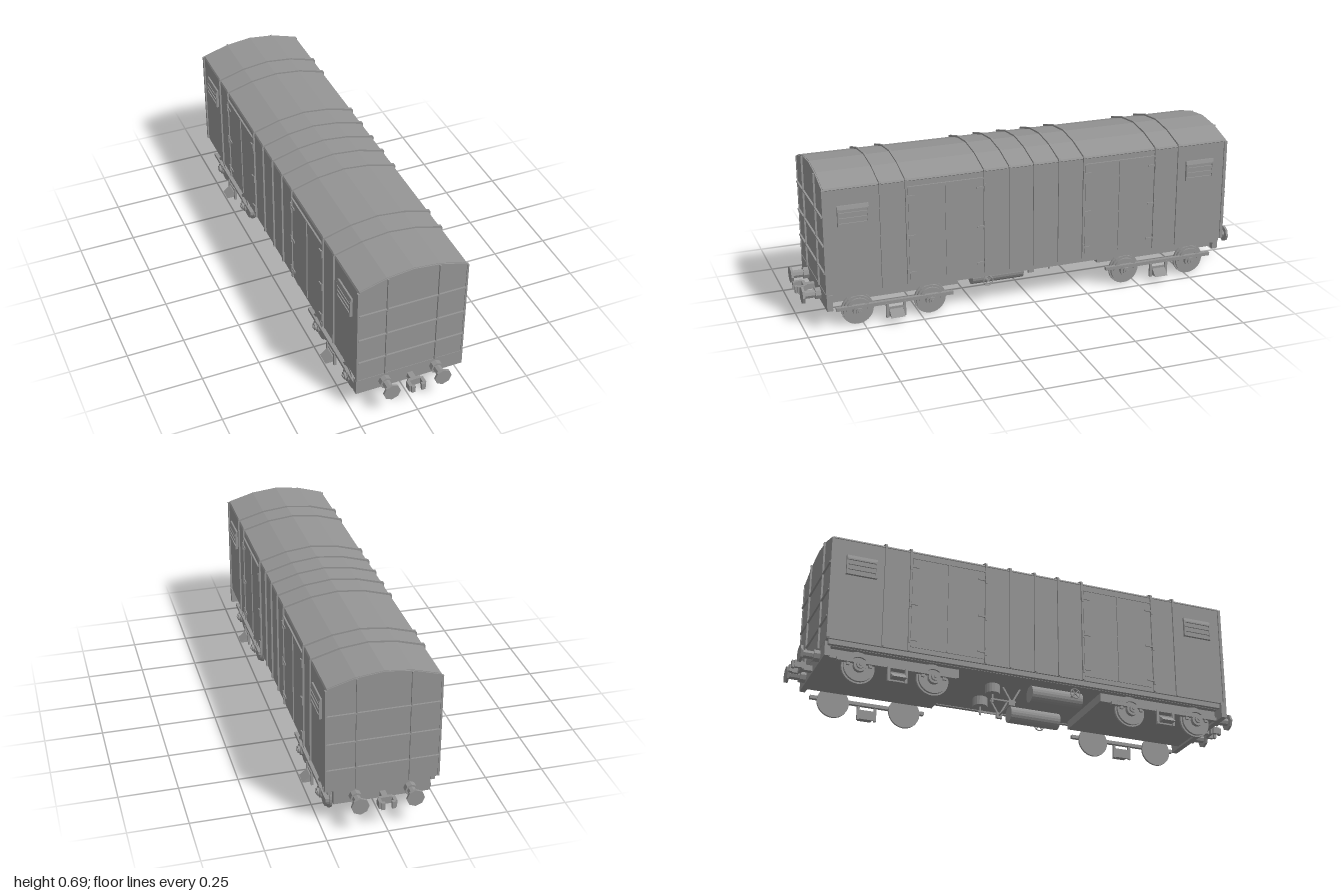
import * as THREE from 'three';

const mat = new THREE.MeshStandardMaterial({ color: 0x949494, flatShading: true, side: THREE.DoubleSide });

function add(parent, name, geometry, x = 0, y = 0, z = 0) {
  const m = new THREE.Mesh(geometry, mat);
  m.name = name;
  m.position.set(x, y, z);
  parent.add(m);
  return m;
}

// Box given by its limits on each axis
function box(parent, name, x0, x1, y0, y1, z0, z1) {
  return add(parent, name, new THREE.BoxGeometry(Math.abs(x1 - x0), y1 - y0, Math.abs(z1 - z0)),
    (x0 + x1) / 2, (y0 + y1) / 2, (z0 + z1) / 2);
}

// Square bar between two points
function bar(parent, name, a, b, w) {
  const p = new THREE.Vector3(...a), q = new THREE.Vector3(...b);
  const m = add(parent, name, new THREE.BoxGeometry(w, w, p.distanceTo(q)));
  m.position.copy(p).add(q).multiplyScalar(0.5);
  m.lookAt(q);
}

// Cylinder lying along z or x
function rod(parent, name, axis, r, x, y, z, len, sides = 16) {
  const g = new THREE.CylinderGeometry(r, r, len, sides);
  if (axis === 'z') g.rotateX(Math.PI / 2);
  else g.rotateZ(Math.PI / 2);
  add(parent, name, g, x, y, z);
}

function extrude(points, z0, z1) {
  const s = new THREE.Shape(points.map(p => new THREE.Vector2(...p)));
  const g = new THREE.ExtrudeGeometry(s, { depth: z1 - z0, bevelEnabled: false });
  return g.translate(0, 0, z0);
}

// Roof outline from one eave to the other
const halfRoof = [[0.23, 0.627], [0.226, 0.635], [0.113, 0.668], [0, 0.681]];
const roofLine = [...halfRoof, ...halfRoof.slice(0, -1).reverse().map(([x, y]) => [-x, y])];
const ribZ = [0.67, 0.56, 0.22, 0.107, -0.003, -0.117, -0.23, -0.567, -0.678];

function buildBody(g) {
  add(g, 'body', extrude([[-0.23, 0.168], [0.23, 0.168], ...roofLine], -0.91, 0.91));
  // Thin roof sheet overhanging the walls a little
  const sheet = off => [...roofLine.map(([x, y]) => [x * (1 + off * 3.5), y + off]), ...[...roofLine].reverse()];
  add(g, 'roofSheet', extrude(sheet(0.002), -0.905, 0.905));
  for (const z of ribZ) {
    add(g, 'roofRib', extrude(sheet(0.009), z - 0.005, z + 0.005));
    for (const s of [-1, 1]) box(g, 'sideRib', s * 0.228, s * 0.2373, 0.17, 0.636, z - 0.004, z + 0.004);
  }
  for (const e of [-1, 1]) {
    const zi = e * 0.905, zo = e * 0.918;
    for (const x of [-0.11, 0.11]) box(g, 'endPost', x - 0.003, x + 0.003, 0.17, 0.667, zi, zo);
    for (const y of [0.268, 0.388, 0.515]) box(g, 'endRail', -0.23, 0.23, y - 0.003, y + 0.003, zi, zo);
    for (const s of [-1, 1]) box(g, 'cornerPost', s * 0.228, s * 0.236, 0.17, 0.63, e * 0.9, e * 0.913);
  }
}

// Double doors with hinges, and louvred vents
function buildSide(g, s) {
  for (const [za, zb] of [[0.56, 0.22], [-0.23, -0.567]]) {
    const mid = (za + zb) / 2;
    box(g, 'doors', s * 0.228, s * 0.2335, 0.188, 0.6, za - 0.008, zb + 0.008);
    box(g, 'doorBar', s * 0.23, s * 0.238, 0.188, 0.6, mid - 0.003, mid + 0.003);
    box(g, 'doorTopRail', s * 0.228, s * 0.237, 0.598, 0.604, za, zb);
    for (const [z, d] of [[za, -1], [zb, 1]]) {
      for (const y of [0.22, 0.385, 0.56]) {
        box(g, 'hinge', s * 0.23, s * 0.238, y - 0.004, y + 0.004, z, z + d * 0.035);
        box(g, 'hingePin', s * 0.232, s * 0.241, y - 0.018, y + 0.018, z - 0.004, z + 0.004);
      }
    }
  }
  for (const z of [0.786, -0.781]) {
    box(g, 'ventBack', s * 0.228, s * 0.236, 0.468, 0.552, z - 0.064, z + 0.064);
    for (const e of [-1, 1]) box(g, 'ventCheek', s * 0.23, s * 0.242, 0.468, 0.545, z + e * 0.06, z + e * 0.066);
    const hood = [[s * 0.23, 0.536], [s * 0.242, 0.536], [s * 0.242, 0.542], [s * 0.237, 0.558], [s * 0.23, 0.558]];
    add(g, 'ventHood', extrude(hood, z - 0.066, z + 0.066));
    for (let i = 0; i < 3; i++)
      box(g, 'ventSlat', s * 0.23, s * 0.2415, 0.468 + i * 0.023, 0.482 + i * 0.023, z - 0.06, z + 0.06);
  }
}

function buildUnderframe(g) {
  box(g, 'floor', -0.2, 0.2, 0.148, 0.17, -0.9, 0.9);
  for (const s of [-1, 1]) box(g, 'soleBar', s * 0.205, s * 0.222, 0.147, 0.17, -0.9, 0.9);
  for (const e of [-1, 1]) box(g, 'endUnderframe', -0.175, 0.175, 0.11, 0.15, e * 0.325, e * 0.9);
  box(g, 'frontBeam', -0.237, 0.237, 0.1, 0.17, 0.887, 0.912);
  box(g, 'backBeam', -0.2, 0.2, 0.105, 0.17, -0.885, -0.909);
  for (const s of [-1, 1]) {
    // Air tank with hand wheel
    rod(g, 'airTank', 'z', 0.037, s * 0.122, 0.114, 0.133, 0.235, 20);
    const wheel = add(g, 'handWheel', new THREE.TorusGeometry(0.021, 0.003, 6, 16), s * 0.2, 0.115, 0.195);
    wheel.rotation.y = Math.PI / 2;
    bar(g, 'handWheelSpoke', [s * 0.2, 0.1, 0.18], [s * 0.2, 0.13, 0.21], 0.004);
    bar(g, 'handWheelSpoke', [s * 0.2, 0.13, 0.18], [s * 0.2, 0.1, 0.21], 0.004);
    rod(g, 'handWheelShaft', 'x', 0.004, s * 0.175, 0.115, 0.195, 0.05, 8);
    // Brake cylinder with V hanger
    const x = s * 0.075;
    add(g, 'brakeCylinder', new THREE.CylinderGeometry(0.032, 0.032, 0.042, 16), x, 0.129, -0.137);
    bar(g, 'hangerArm', [x, 0.15, -0.01], [x, 0.08, -0.048], 0.007);
    bar(g, 'hangerArm', [x, 0.15, -0.09], [x, 0.08, -0.048], 0.007);
    box(g, 'hangerFoot', x - 0.006, x + 0.006, 0.067, 0.092, -0.062, -0.035);
    box(g, 'brakeLever', x - 0.003, x + 0.003, 0.082, 0.089, -0.145, -0.03);
    box(g, 'brakeRod', x - 0.003, x + 0.003, 0.07, 0.115, -0.14, -0.133);
  }
  rod(g, 'brakeShaft', 'x', 0.004, 0, 0.081, -0.048, 0.15, 8);
}

// One side of a four-wheel bogie, built on the +x side and mirrored by s
function buildBogieSide(parent, s, z0) {
  const g = new THREE.Group();
  g.name = 'bogieSide';
  g.position.z = z0;
  g.scale.x = s;
  parent.add(g);
  const arch = new THREE.Shape();
  arch.absarc(0, 0, 0.054, 0, Math.PI, false);
  arch.absarc(0, 0, 0.04, Math.PI, 0, true);
  for (const z of [-0.159, 0.159]) {
    rod(g, 'wheelFlange', 'x', 0.07, 0.188, 0.074, z, 0.01, 28);
    rod(g, 'wheelTread', 'x', 0.063, 0.198, 0.074, z, 0.012, 28);
    const a = new THREE.ExtrudeGeometry(arch, { depth: 0.01, bevelEnabled: false, curveSegments: 12 });
    a.rotateY(Math.PI / 2);
    add(g, 'wheelArch', a, 0.203, 0.074, z);
    rod(g, 'axleBox', 'x', 0.026, 0.212, 0.074, z, 0.02, 16);
    rod(g, 'axleCap', 'x', 0.016, 0.225, 0.074, z, 0.012, 12);
    rod(g, 'axleBolt', 'x', 0.007, 0.23, 0.074, z, 0.012, 8);
  }
  box(g, 'frameBar', 0.203, 0.22, 0.085, 0.1, -0.255, 0.255);
  // Flared step hung below the frame
  for (const e of [-1, 1]) box(g, 'stepLeg', 0.213, 0.224, 0.025, 0.09, e * 0.032, e * 0.043);
  box(g, 'stepBack', 0.213, 0.219, 0.028, 0.07, -0.036, 0.036);
  add(g, 'step', extrude([[0.219, 0.035], [0.257, 0.035], [0.224, 0.062], [0.219, 0.062]], -0.03, 0.03));
}

// Buffers and coupling hook on one end
function buildEndGear(parent, turn) {
  const g = new THREE.Group();
  g.name = 'endGear';
  g.rotation.y = turn;
  parent.add(g);
  for (const x of [-0.113, 0.113]) {
    rod(g, 'bufferBase', 'z', 0.026, x, 0.135, 0.92, 0.03, 8);
    rod(g, 'bufferShank', 'z', 0.018, x, 0.135, 0.95, 0.08, 8);
    rod(g, 'bufferHead', 'z', 0.037, x, 0.135, 0.987, 0.01, 8);
  }
  box(g, 'couplerShank', -0.012, 0.012, 0.112, 0.136, 0.9, 0.955);
  box(g, 'couplerBack', -0.028, 0.028, 0.109, 0.14, 0.948, 0.962);
  for (const s of [-1, 1]) {
    box(g, 'couplerJaw', s * 0.023, s * 0.037, 0.109, 0.14, 0.957, 0.99);
    box(g, 'couplerTip', s * 0.014, s * 0.03, 0.109, 0.14, 0.987, 1.0);
  }
}

export function createModel() {
  const model = new THREE.Group();
  model.name = 'coveredWagon';
  buildBody(model);
  buildUnderframe(model);
  for (const s of [-1, 1]) {
    buildSide(model, s);
    for (const z of [0.614, -0.606]) buildBogieSide(model, s, z);
  }
  buildEndGear(model, 0);
  buildEndGear(model, Math.PI);
  return model;
}
